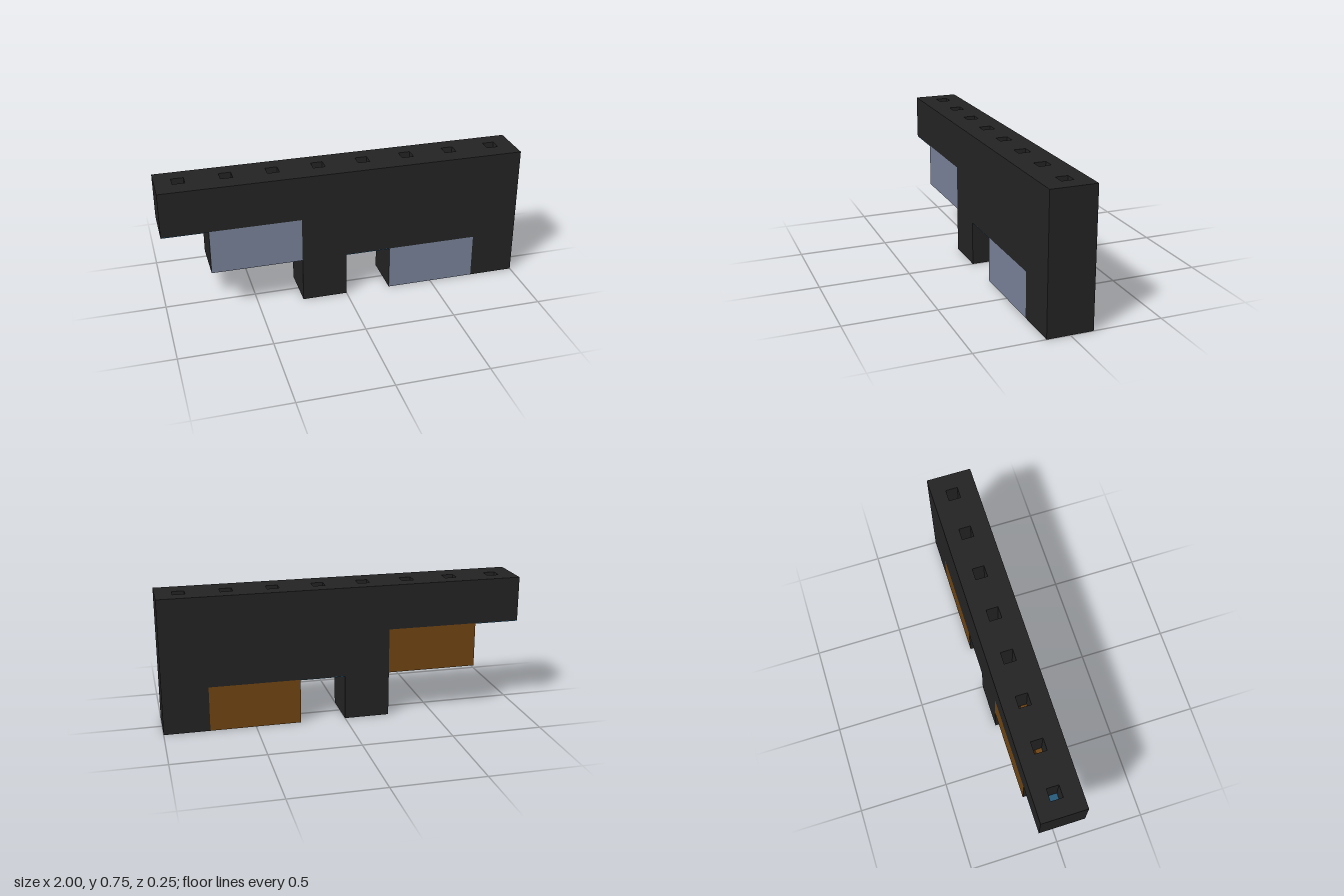
import * as THREE from 'three';

const mat = (name, color) => {
  const m = new THREE.MeshStandardMaterial({ color });
  m.name = name;
  return m;
};

export function createModel() {
  const black = mat('black', 0x232323);
  const grey = mat('slate grey', 0x778096);
  const orange = mat('orange brown', 0x6e4412);
  const brown = mat('dark brown', 0x2e1c08);
  const blue = mat('blue', 0x265a7a);

  const group = new THREE.Group();
  const D = 0.25; // depth of the whole model
  const slabBase = 0.55; // floor level of the sockets

  const add = (name, geometry, material, x = 0, y = 0, z = 0) => {
    const mesh = new THREE.Mesh(geometry, material);
    mesh.name = name;
    mesh.position.set(x, y, z);
    group.add(mesh);
    return mesh;
  };
  const box = (name, material, w, h, d, x, y, z) =>
    add(name, new THREE.BoxGeometry(w, h, d), material, x, y, z);
  const polygon = (pts) => new THREE.Shape(pts.map(([x, y]) => new THREE.Vector2(x, y)));

  // stepped body with two legs, below the top slab
  const body = polygon([
    [-1, 0.5], [-0.25, 0.5], [-0.25, 0], [0, 0], [0, 0.25],
    [0.75, 0.25], [0.75, 0], [1, 0], [1, slabBase], [-1, slabBase],
  ]);
  const bodyGeometry = new THREE.ExtrudeGeometry(body, { depth: D, bevelEnabled: false });
  bodyGeometry.translate(0, 0, -D / 2);
  add('body', bodyGeometry, black);

  // top slab with a row of eight square sockets
  const hole = 0.033, holeZ = -0.01;
  const slab = polygon([[-1, -D / 2], [1, -D / 2], [1, D / 2], [-1, D / 2]]);
  const socketXs = Array.from({ length: 8 }, (_, i) => -0.875 + i * 0.25);
  for (const x of socketXs) {
    const y = -holeZ; // shape y becomes -z
    slab.holes.push(new THREE.Path([
      [x - hole, y - hole], [x - hole, y + hole], [x + hole, y + hole], [x + hole, y - hole],
    ].map(([a, b]) => new THREE.Vector2(a, b))));
  }
  const slabGeometry = new THREE.ExtrudeGeometry(slab, { depth: 0.75 - slabBase, bevelEnabled: false });
  slabGeometry.rotateX(-Math.PI / 2);
  add('topSlab', slabGeometry, black, 0, slabBase, 0);

  // coloured socket floors
  socketXs.forEach((x, i) => {
    const y = slabBase + 0.003;
    if ([0, 4, 7].includes(i)) {
      box('socketFloor', blue, hole * 2, 0.006, hole * 2, x, y, holeZ);
    } else if (i !== 3) {
      box('socketFloorBack', brown, hole * 2, 0.006, hole, x, y, holeZ - hole / 2);
      box('socketFloorFront', orange, hole * 2, 0.006, hole, x, y, holeZ + hole / 2);
    }
  });

  // hanging blocks: grey front, orange back, black elsewhere
  for (const [x, y] of [[-0.5, 0.375], [0.5, 0.125]]) {
    add('block', new THREE.BoxGeometry(0.5, 0.25, D),
      [black, black, black, black, grey, orange], x, y, 0);
  }

  // blue undersides of the open bays
  for (const [x, y] of [[-0.875, 0.5], [0.125, 0.25]]) {
    box('bayUnderside', blue, 0.25, 0.004, D, x, y - 0.001, 0);
  }
  return group;
}
